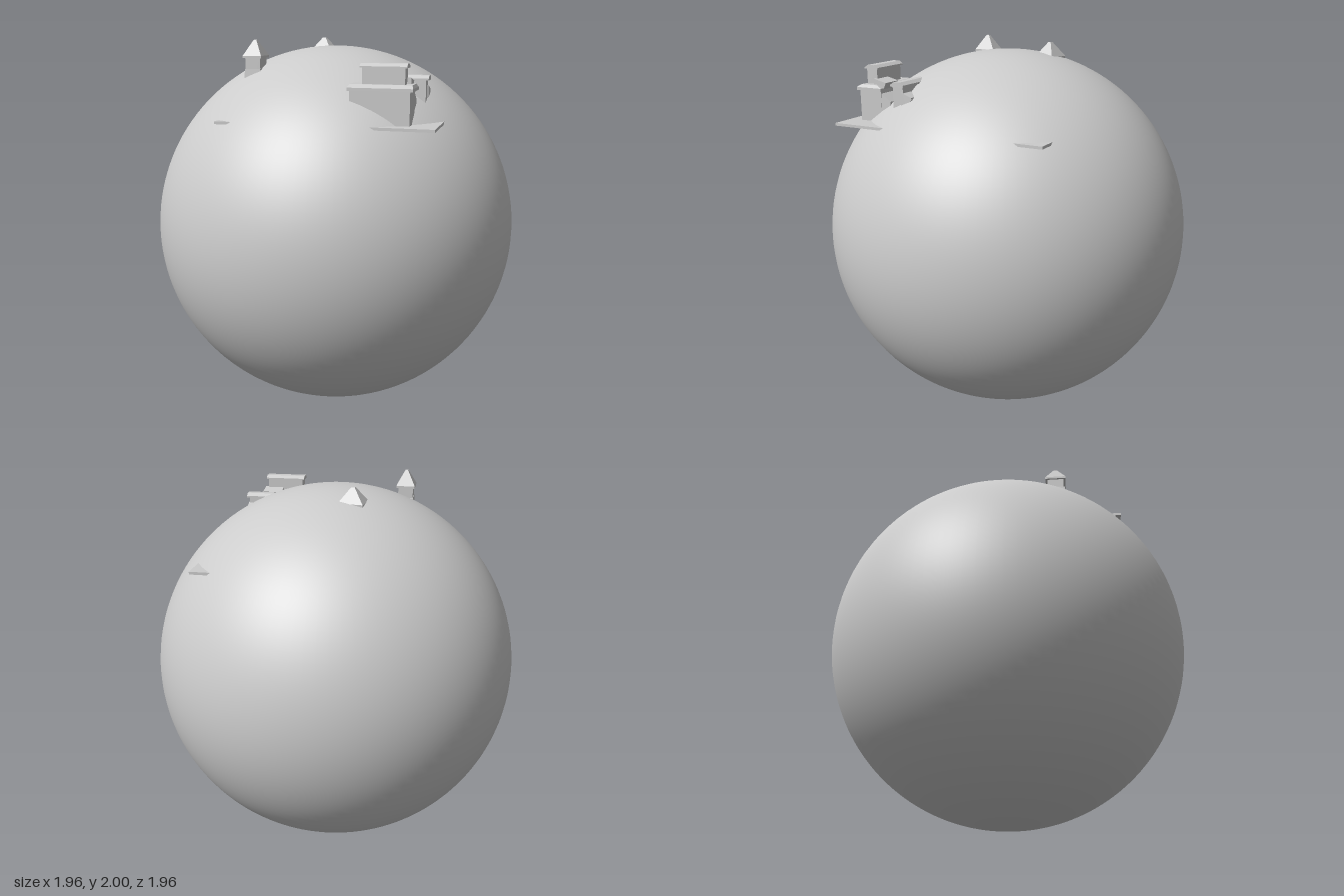
import * as THREE from 'three';

const mat = new THREE.MeshStandardMaterial({ color: 0xcccccc, flatShading: true });
const smooth = new THREE.MeshStandardMaterial({ color: 0xcccccc });

// Box given by its limits; the top face can be shrunk by sx and sz (hip and gable roofs)
function block(parent, name, [x0, x1], [y0, y1], [z0, z1], sx = 1, sz = 1) {
  const geo = new THREE.BoxGeometry(x1 - x0, y1 - y0, z1 - z0);
  const p = geo.attributes.position;
  for (let i = 0; i < p.count; i++) {
    if (p.getY(i) > 0) p.setXYZ(i, p.getX(i) * sx, p.getY(i), p.getZ(i) * sz);
  }
  geo.computeVertexNormals();
  const mesh = new THREE.Mesh(geo, mat);
  mesh.name = name;
  mesh.position.set((x0 + x1) / 2, (y0 + y1) / 2, (z0 + z1) / 2);
  parent.add(mesh);
  return mesh;
}

// Lean-to: side profile in (z, y), extruded along x
function leanTo(parent, name, [x0, x1], profile) {
  const shape = new THREE.Shape(profile.map(([z, y]) => new THREE.Vector2(-z, y)));
  const geo = new THREE.ExtrudeGeometry(shape, { depth: x1 - x0, bevelEnabled: false });
  geo.rotateY(Math.PI / 2).translate(x0, 0, 0);
  const mesh = new THREE.Mesh(geo, mat);
  mesh.name = name;
  parent.add(mesh);
}

// Square tower with a blunt pyramid roof
function tower(name, x, z, halfX, halfZ, eave, turn) {
  const g = new THREE.Group();
  g.name = name;
  const span = (h, k) => [-h * k, h * k];
  block(g, 'towerBase', span(halfX, 1), [1.7, 1.855], span(halfZ, 1.08), 0.84, 0.84);
  block(g, 'towerShaft', span(halfX, 0.8), [1.7, eave], span(halfZ, 0.8));
  block(g, 'towerEave', span(halfX, 1), [eave - 0.006, eave + 0.006], span(halfZ, 1));
  block(g, 'towerRoof', span(halfX, 1), [eave + 0.006, 2], span(halfZ, 1), 0.14, 0.14);
  g.position.set(x, 0, z);
  g.rotation.y = turn;
  return g;
}

export function createModel() {
  const model = new THREE.Group();
  model.name = 'globeWithBuildings';

  // Globe
  const globe = new THREE.Mesh(new THREE.SphereGeometry(0.982, 96, 64), smooth);
  globe.name = 'globe';
  globe.position.y = 0.982;
  model.add(globe);

  // Ground slab, only its corners break through the globe
  block(model, 'groundSlab', [-0.43, 0.65], [1.608, 1.622], [-0.51, 0.66]);

  // Main house: lower storey, upper storey and rear lean-tos
  const house = new THREE.Group();
  house.name = 'mainHouse';
  block(house, 'lowerWalls', [0.23, 0.52], [1.6, 1.785], [0.46, 0.59]);
  block(house, 'lowerEave', [0.22, 0.535], [1.78, 1.795], [0.45, 0.6]);
  block(house, 'lowerRoof', [0.22, 0.535], [1.795, 1.81], [0.45, 0.6], 0.95, 0.65);
  block(house, 'upperWalls', [0.285, 0.49], [1.79, 1.89], [0.5, 0.562]);
  block(house, 'upperEave', [0.275, 0.5], [1.886, 1.893], [0.49, 0.57]);
  block(house, 'upperRoof', [0.275, 0.5], [1.893, 1.906], [0.49, 0.57], 1, 0.5);
  leanTo(house, 'upperLeanTo', [0.4, 0.51],
    [[0.51, 1.79], [0.51, 1.84], [0.435, 1.822], [0.45, 1.79]]);
  leanTo(house, 'lowerLeanTo', [0.38, 0.518],
    [[0.47, 1.6], [0.47, 1.775], [0.405, 1.73], [0.405, 1.715], [0.42, 1.6]]);
  model.add(house);

  // Side house behind it
  const side = new THREE.Group();
  side.name = 'sideHouse';
  block(side, 'sideWalls', [0.34, 0.555], [1.65, 1.82], [0.3, 0.36]);
  block(side, 'sideEave', [0.34, 0.568], [1.817, 1.826], [0.29, 0.367]);
  block(side, 'sideRoof', [0.34, 0.568], [1.826, 1.84], [0.29, 0.367], 1, 0.45);
  leanTo(side, 'sideLeanTo', [0.48, 0.56],
    [[0.31, 1.65], [0.31, 1.79], [0.248, 1.768], [0.248, 1.755], [0.28, 1.73], [0.28, 1.65]]);
  model.add(side);

  // Towers
  model.add(tower('frontTower', -0.343, 0.307, 0.05, 0.058, 1.915, 0));
  model.add(tower('rearTower', -0.12, -0.193, 0.065, 0.054, 1.92, -0.16));
  return model;
}
